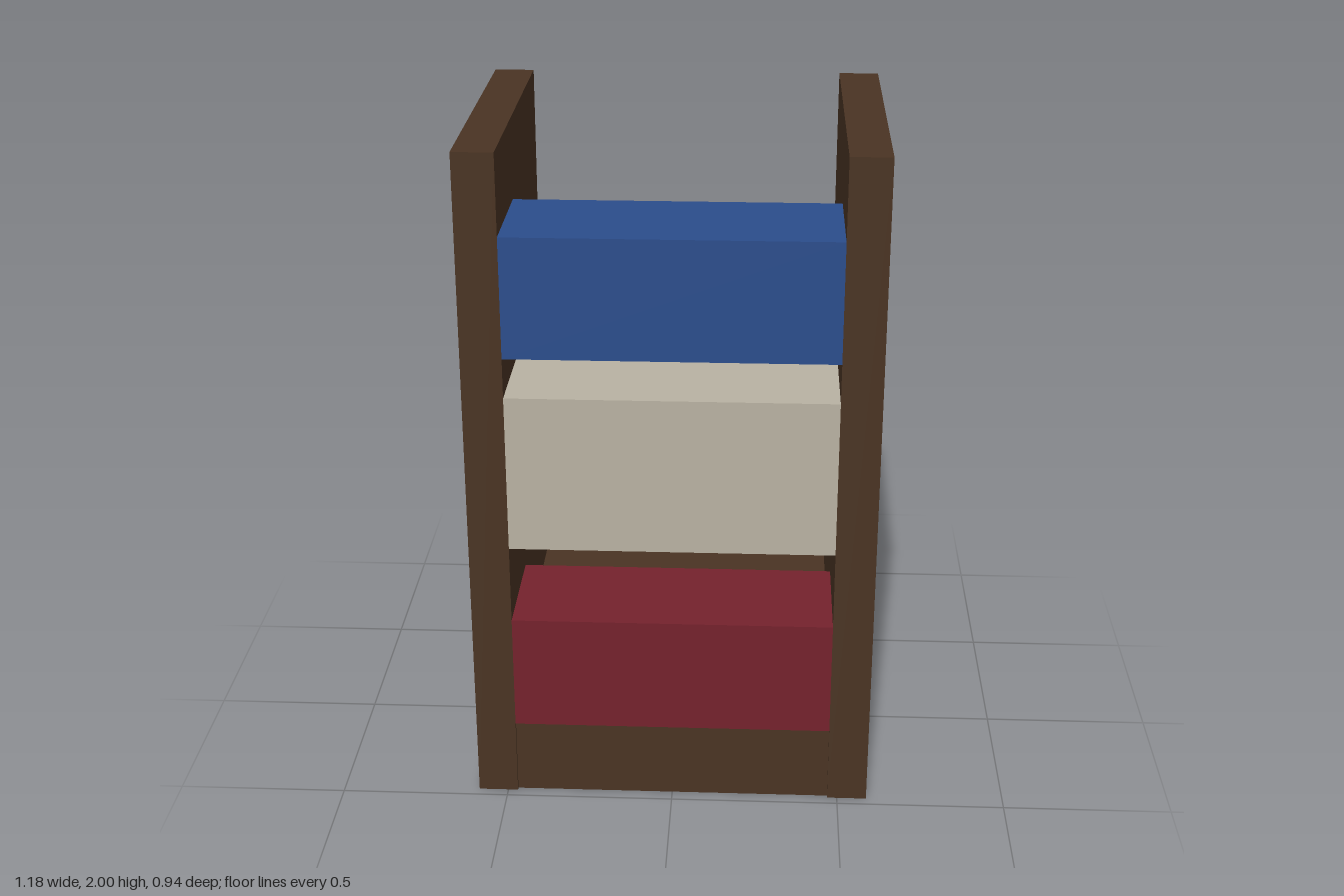
import * as THREE from 'three';

const brown = new THREE.MeshStandardMaterial({ color: 0x4a3423, side: THREE.DoubleSide });
const blue = new THREE.MeshStandardMaterial({ color: 0x2b4d8c });
const beige = new THREE.MeshStandardMaterial({ color: 0xb9b2a3 });
const red = new THREE.MeshStandardMaterial({ color: 0x75222d });
brown.name = 'dark wood';
blue.name = 'blue';
beige.name = 'beige';
red.name = 'dark red';

const U = 2 / 17; // module size shared by all parts

// Box given by its lower and upper corners
function box(name, material, [x0, y0, z0], [x1, y1, z1]) {
  const geometry = new THREE.BoxGeometry(x1 - x0, y1 - y0, z1 - z0);
  geometry.translate((x0 + x1) / 2, (y0 + y1) / 2, (z0 + z1) / 2);
  const mesh = new THREE.Mesh(geometry, material);
  mesh.name = name;
  return mesh;
}

// Hollow shell: drop the underside (the fourth face of the box)
function openBottom(mesh) {
  const index = Array.from(mesh.geometry.index.array);
  index.splice(18, 6);
  mesh.geometry.setIndex(index);
  mesh.geometry.clearGroups();
  return mesh;
}

export function createModel() {
  const group = new THREE.Group();
  group.name = 'bookcase';

  // Tall side panels, open underneath
  group.add(openBottom(box('leftPanel', brown, [4 * U, 0, -4 * U], [5 * U, 2, 4 * U])));
  group.add(openBottom(box('rightPanel', brown, [-5 * U, 0, -4 * U], [-4 * U, 2, 4 * U])));

  // Hollow base, slightly set back from the panel edges
  group.add(openBottom(box('base', brown, [-4 * U, 0, -0.46], [4 * U, 3 * U, 0.46])));

  // Coloured crosspieces along the front
  const bars = [
    ['lowerBar', red, 2, 5],
    ['middleBar', beige, 7, 11],
    ['upperBar', blue, 12, 15],
  ];
  for (const [name, material, y0, y1] of bars) {
    group.add(box(name, material, [-4 * U, y0 * U, U], [4 * U, y1 * U, 4 * U]));
  }
  return group;
}
